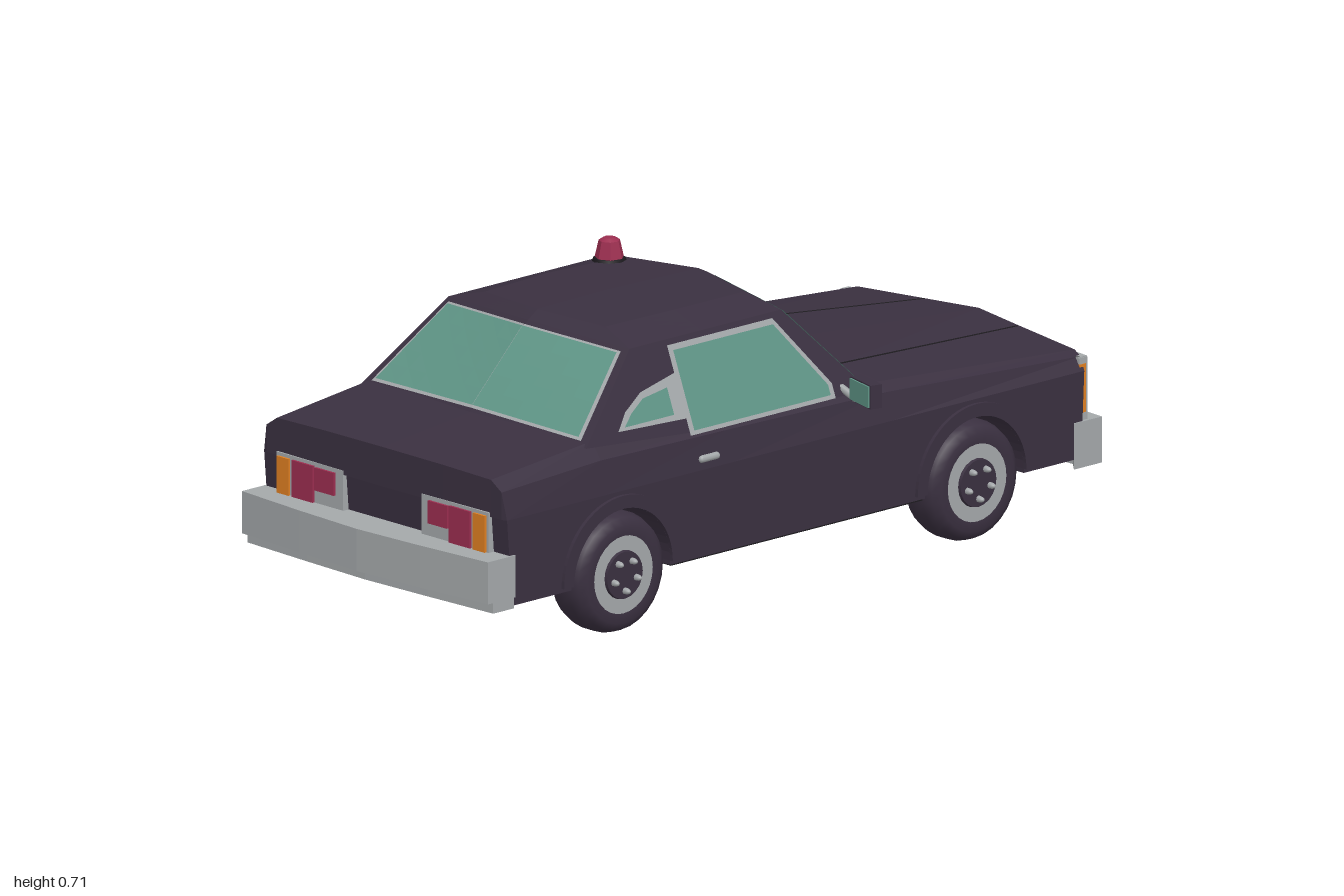
import * as THREE from 'three';
import { mergeGeometries } from 'three/addons/utils/BufferGeometryUtils.js';

const V = (p) => new THREE.Vector3(...p);
const mat = (name, color) => {
  const m = new THREE.MeshStandardMaterial({ color, side: THREE.DoubleSide });
  m.name = name;
  return m;
};

// Flat-shaded surface through rows of points
function surface(rows) {
  const out = [];
  for (let i = 0; i < rows.length - 1; i++) {
    for (let j = 0; j < rows[i].length - 1; j++) {
      const a = rows[i][j], b = rows[i][j + 1], c = rows[i + 1][j + 1], d = rows[i + 1][j];
      out.push(...a, ...b, ...c, ...a, ...c, ...d);
    }
  }
  const g = new THREE.BufferGeometry();
  g.setAttribute('position', new THREE.Float32BufferAttribute(out, 3));
  g.computeVertexNormals();
  return g;
}

// Part of a four-cornered panel (a-b below, d-c above), lifted outward by off
function patch([a, b, c, d], u0 = 0, u1 = 1, v0 = 0, v1 = 1, off = 0, n = 5) {
  const [A, B, C, D] = [a, b, c, d].map(V);
  const normal = C.clone().sub(A).cross(D.clone().sub(B)).normalize();
  if (normal.dot(A.clone().add(C).multiplyScalar(0.5).sub(V([0, 0.4, 0.2]))) < 0) normal.negate();
  const rows = [];
  for (let i = 0; i <= n; i++) {
    const v = v0 + (v1 - v0) * i / n, row = [];
    for (let j = 0; j <= n; j++) {
      const u = u0 + (u1 - u0) * j / n;
      row.push(A.clone().lerp(B, u).lerp(D.clone().lerp(C, u), v).addScaledVector(normal, off).toArray());
    }
    rows.push(row);
  }
  return surface(rows);
}

const flipX = ([x, y, z]) => [-x, y, z];

// Prism standing on y0, from plan points [x, z] of the +x half
function prism(half, y0, y1) {
  const pts = [...half, ...half.map(([x, z]) => [-x, z]).reverse()];
  const s = new THREE.Shape(pts.map(([x, z]) => new THREE.Vector2(x, -z)));
  return new THREE.ExtrudeGeometry(s, { depth: y1 - y0, bevelEnabled: false }).rotateX(-Math.PI / 2).translate(0, y0, 0);
}

const box = (x0, x1, y0, y1, z0, z1) =>
  new THREE.BoxGeometry(x1 - x0, y1 - y0, z1 - z0).translate((x0 + x1) / 2, (y0 + y1) / 2, (z0 + z1) / 2);

export function createModel() {
  const car = new THREE.Group();
  car.name = 'car';
  const paint = mat('darkPaint', 0x3a3040), glass = mat('tealGlass', 0x5f9586), chrome = mat('silver', 0xa4a8aa);
  const red = mat('red', 0x9c2e50), orange = mat('orange', 0xdf7f22), black = mat('black', 0x1d1b1f);
  const add = (name, geo, m, parent = car) => {
    const mesh = new THREE.Mesh(geo, m);
    mesh.name = name;
    parent.add(mesh);
    return mesh;
  };

  // Lower body with wheel arches, drawn in side profile (-z, y)
  const wheelZ = [0.55, -0.56];
  const side = new THREE.Shape();
  side.moveTo(-0.907, 0.34);
  side.lineTo(-0.89, 0.135);
  for (const z of wheelZ) {
    side.lineTo(-z - 0.155, 0.135);
    side.absarc(-z, 0.145, 0.155, Math.PI, 0, true);
    side.lineTo(-z + 0.155, 0.135);
  }
  side.lineTo(0.895, 0.135);
  side.lineTo(0.905, 0.34);
  add('lowerBody', new THREE.ExtrudeGeometry(side, { depth: 0.806, bevelEnabled: false })
    .rotateY(Math.PI / 2).translate(-0.403, 0, 0), paint);
  add('underbody', box(-0.29, 0.29, 0.131, 0.33, -0.885, 0.88), black);
  add('floorPlate', box(-0.4, 0.4, 0.131, 0.136, -0.4, 0.39), black);

  // Hood, shoulders and trunk lid lofted from the tail to the nose
  const decks = [
    [[0.403, 0.34, 0.907], [0.39, 0.405, 0.912], [0.355, 0.428, 0.912], [0.2, 0.432, 0.915], [0, 0.434, 0.918]],
    [[0.403, 0.34, 0.6], [0.39, 0.42, 0.6], [0.36, 0.46, 0.6], [0.22, 0.465, 0.6], [0, 0.467, 0.6]],
    [[0.403, 0.34, 0.2], [0.39, 0.415, 0.2], [0.375, 0.43, 0.2], [0.23, 0.45, 0.2], [0, 0.455, 0.2]],
    [[0.403, 0.34, -0.3], [0.387, 0.405, -0.3], [0.36, 0.425, -0.3], [0.23, 0.44, -0.3], [0, 0.447, -0.3]],
    [[0.403, 0.34, -0.905], [0.385, 0.37, -0.91], [0.36, 0.38, -0.915], [0.155, 0.39, -0.935], [0, 0.396, -0.955]],
  ].map((h) => [...h, ...h.slice(0, -1).map(flipX).reverse()]);
  const drop = (row) => row.map(([x, , z]) => [x, 0.34, z]);
  add('upperBody', surface([drop(decks[0]), ...decks, drop(decks[4])]), paint);
  for (const s of [1, -1]) {
    const line = new THREE.TubeGeometry(new THREE.LineCurve3(V([s * 0.155, 0.389, -0.93]), V([s * 0.23, 0.439, -0.3])), 1, 0.003, 5);
    add('hoodCrease', line, black);
  }

  // Cabin: three rings, each from windshield centre round to rear centre
  const sideX = (y) => 0.385 - (y - 0.42) * 0.4;
  const rim = (z, y) => [sideX(y), y, z];
  const rings = [
    [[0, 0.44, -0.325], rim(-0.245, 0.422), rim(0.2, 0.42), rim(0.63, 0.45), [0, 0.46, 0.645]],
    [[0, 0.648, -0.105], rim(-0.05, 0.632), rim(0.2, 0.632), rim(0.425, 0.632), [0, 0.645, 0.46]],
    [[0, 0.663, -0.075], [0.2, 0.658, -0.03], [0.21, 0.662, 0.2], [0.2, 0.66, 0.405], [0, 0.665, 0.43]],
    Array(5).fill([0, 0.668, 0.2]),
  ];
  const cabin = [];
  for (let i = 0; i < 3; i++) {
    for (let j = 0; j < 4; j++) {
      const q = [rings[i][j], rings[i][j + 1], rings[i + 1][j + 1], rings[i + 1][j]];
      cabin.push(patch(q), patch(q.map(flipX)));
    }
  }
  add('cabin', mergeGeometries(cabin), paint);

  // Windshield and rear window with silver trim
  for (const [name, c, k] of [['windshield', 0, 1], ['rearWindow', 4, 3]]) {
    const q = [rings[0][c], rings[0][k], rings[1][k], rings[1][c]];
    const pair = (...r) => mergeGeometries([patch(q, ...r), patch(q.map(flipX), ...r)]);
    add(name + 'Trim', pair(0, 0.94, 0.05, 0.95, 0.003), chrome);
    add(name, pair(0, 0.915, 0.075, 0.925, 0.006), glass);
  }

  // Side glass outlines as [z, y], laid on the sloping cabin side
  const sidePlates = [
    ['doorWindowTrim', chrome, 0.003, [[0.315, 0.62], [-0.015, 0.62], [-0.14, 0.455], [-0.14, 0.422], [0.315, 0.422]]],
    ['doorWindow', glass, 0.006, [[0.303, 0.608], [-0.01, 0.608], [-0.125, 0.455], [-0.125, 0.432], [0.303, 0.432]]],
    ['quarterPanel', chrome, 0.003, [[0.315, 0.56], [0.43, 0.538], [0.49, 0.505], [0.525, 0.468], [0.315, 0.46]]],
    ['quarterWindow', glass, 0.006, [[0.35, 0.535], [0.43, 0.525], [0.475, 0.5], [0.505, 0.475], [0.35, 0.475]]],
  ];
  for (const s of [1, -1]) {
    for (const [name, m, off, pts] of sidePlates) {
      const g = new THREE.ShapeGeometry(new THREE.Shape(pts.map(([z, y]) => new THREE.Vector2(z, y))));
      const p = g.attributes.position;
      for (let i = 0; i < p.count; i++) p.setXYZ(i, s * (sideX(p.getY(i)) + off), p.getY(i), p.getX(i));
      g.computeVertexNormals();
      add(name, g, m);
    }
    add('doorHandle', new THREE.CapsuleGeometry(0.009, 0.045, 3, 8).rotateX(Math.PI / 2).translate(s * 0.4, 0.365, 0.27), chrome);

    // Door mirror
    const mirror = new THREE.Group();
    mirror.name = 'mirror';
    mirror.position.set(s * 0.45, 0.443, -0.172);
    mirror.rotation.y = -s * 0.25;
    add('mirrorHousing', box(-0.047, 0.047, -0.028, 0.028, -0.018, 0.012), paint, mirror);
    add('mirrorGlass', box(-0.043, 0.043, -0.025, 0.025, 0.012, 0.016), glass, mirror);
    car.add(mirror);
    const arm = new THREE.LineCurve3(V([s * 0.37, 0.44, -0.17]), V([s * 0.415, 0.418, -0.178]));
    add('mirrorArm', new THREE.TubeGeometry(arm, 1, 0.009, 6), chrome);
  }

  // Wheels with fender lips
  const tyre = [[0.08, 0], [0.115, 0], [0.133, 0.014], [0.142, 0.04], [0.142, 0.078], [0.133, 0.102], [0.115, 0.114], [0.092, 0.112]]
    .map(([r, h]) => new THREE.Vector2(r, h));
  const lip = new THREE.Shape();
  lip.absarc(0, 0, 0.186, 0, Math.PI, false);
  lip.absarc(0, 0, 0.155, Math.PI, 0, true);
  for (const s of [1, -1]) {
    for (const z of wheelZ) {
      const wheel = new THREE.Group();
      wheel.name = 'wheel';
      wheel.position.set(s * 0.3, 0.144, z);
      wheel.rotation.z = -s * Math.PI / 2;
      add('tyre', new THREE.LatheGeometry(tyre, 28), paint, wheel);
      add('rimDisc', new THREE.CylinderGeometry(0.096, 0.082, 0.108, 28).translate(0, 0.056, 0), chrome, wheel);
      add('hub', new THREE.CylinderGeometry(0.056, 0.058, 0.008, 20).translate(0, 0.113, 0), paint, wheel);
      for (let k = 0; k < 5; k++) {
        const a = k * Math.PI * 2 / 5;
        add('wheelNut', new THREE.SphereGeometry(0.009, 8, 6).scale(0.9, 1.9, 0.9)
          .translate(0.037 * Math.cos(a), 0.118, 0.037 * Math.sin(a)), chrome, wheel);
      }
      car.add(wheel);
      add('fenderLip', new THREE.ExtrudeGeometry(lip, { depth: 0.012, bevelEnabled: false, curveSegments: 16 })
        .rotateY(Math.PI / 2).translate(s > 0 ? 0.4 : -0.412, 0.145, z), paint);
    }
  }

  // Bumpers
  add('rearBumper', prism([[0, 0.9], [0.37, 0.9], [0.408, 0.885], [0.408, 0.972], [0.2, 0.988], [0, 0.998]], 0.155, 0.255), chrome);
  add('rearBumperLip', prism([[0, 0.9], [0.37, 0.9], [0.408, 0.89], [0.408, 0.955], [0.2, 0.965], [0, 0.972]], 0.13, 0.155), chrome);
  add('frontBumper', prism([[0, -0.9], [0.37, -0.9], [0.406, -0.87], [0.406, -0.958], [0.28, -0.966], [0.09, -0.99], [0, -0.995]], 0.113, 0.222), chrome);

  // Tail lights
  for (const s of [1, -1]) {
    const lamp = (name, x0, x1, y0, y1, z1, m) => add(name, box(Math.min(s * x0, s * x1), Math.max(s * x0, s * x1), y0, y1, 0.895, z1), m);
    lamp('tailLightPanel', 0.13, 0.352, 0.25, 0.35, 0.917, chrome);
    lamp('rearIndicator', 0.306, 0.345, 0.254, 0.342, 0.923, orange);
    lamp('outerTailLight', 0.226, 0.296, 0.254, 0.342, 0.923, red);
    lamp('innerTailLight', 0.156, 0.22, 0.286, 0.34, 0.923, red);
  }

  // Nose: each piece follows the shallow V of the front
  const nose = (name, x0, x1, y0, y1, out, m) => {
    for (const s of [1, -1]) {
      const g = box(s > 0 ? x0 : -x1, s > 0 ? x1 : -x0, y0, y1, -0.94 - out, -0.895);
      const p = g.attributes.position;
      for (let i = 0; i < p.count; i++) {
        if (p.getZ(i) < -0.92) p.setZ(i, p.getZ(i) + 0.085 * Math.abs(p.getX(i)));
      }
      g.computeVertexNormals();
      add(name, g, m);
    }
  };
  nose('grilleRecess', 0, 0.392, 0.2, 0.372, 0, black);
  nose('grilleTopBar', 0, 0.395, 0.358, 0.372, 0.014, chrome);
  nose('grilleBottomBar', 0, 0.395, 0.218, 0.236, 0.014, chrome);
  for (const x of [0.152, 0.325, 0.385]) nose('grillePost', x, x + 0.012, 0.222, 0.37, 0.014, chrome);
  nose('headlight', 0.175, 0.314, 0.248, 0.346, 0.006, glass);
  nose('frontIndicator', 0.343, 0.398, 0.24, 0.355, 0.009, orange);
  for (const s of [1, -1]) {
    add('drivingLight', new THREE.CylinderGeometry(0.042, 0.042, 0.016, 10).rotateX(Math.PI / 2).translate(s * 0.08, 0.295, -0.942), glass);
  }
  add('noseOrnament', new THREE.OctahedronGeometry(1).scale(0.025, 0.045, 0.02).translate(0, 0.305, -0.962), chrome);

  // Roof beacon
  add('beaconBase', new THREE.CylinderGeometry(0.037, 0.04, 0.01, 8).translate(-0.2, 0.661, 0.015), black);
  const beacon = new THREE.CylinderGeometry(0.025, 0.036, 0.048, 7).toNonIndexed();
  beacon.computeVertexNormals();
  add('beacon', beacon.translate(-0.2, 0.682, 0.015), red);
  add('beaconCap', new THREE.CylinderGeometry(0.014, 0.025, 0.007, 7).translate(-0.2, 0.7095, 0.015), red);
  return car;
}
